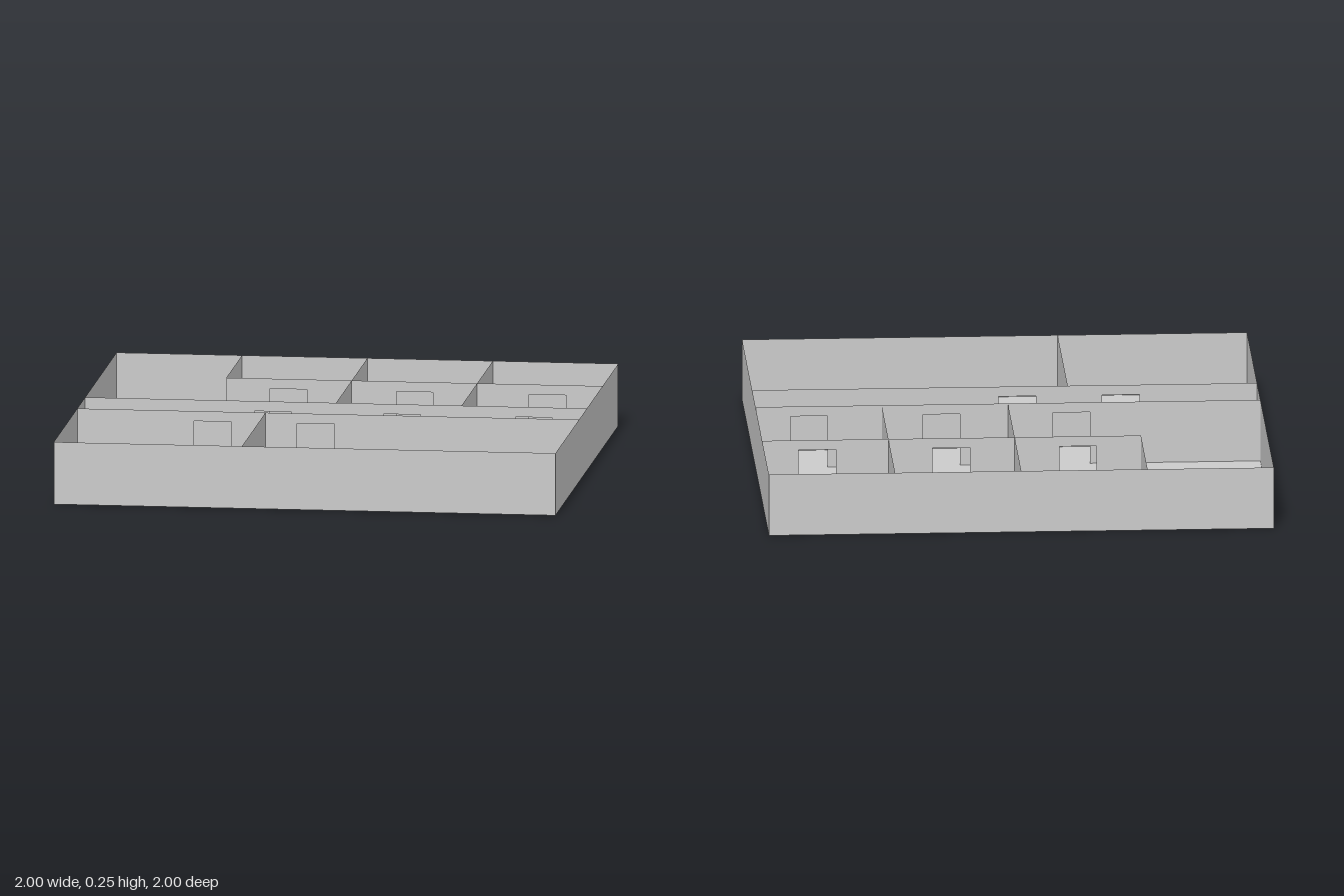
import * as THREE from 'three';

const HEIGHT = 0.25;
const DOOR_HEIGHT = 0.21;

export function createModel() {
  const group = new THREE.Group();
  const material = new THREE.MeshStandardMaterial({
    color: 0xcccccc, flatShading: true, side: THREE.DoubleSide,
  });

  const add = (name, geometry) => {
    const mesh = new THREE.Mesh(geometry, material);
    mesh.name = name;
    group.add(mesh);
    return mesh;
  };

  // Thin wall running along x, with doorways notched up from the floor
  const wallAlongX = (name, z, x0, x1, doors = []) => {
    const shape = new THREE.Shape();
    shape.moveTo(x0, 0);
    for (const [a, b] of doors) {
      shape.lineTo(a, 0);
      shape.lineTo(a, DOOR_HEIGHT);
      shape.lineTo(b, DOOR_HEIGHT);
      shape.lineTo(b, 0);
    }
    shape.lineTo(x1, 0);
    shape.lineTo(x1, HEIGHT);
    shape.lineTo(x0, HEIGHT);
    add(name, new THREE.ShapeGeometry(shape)).position.z = z;
  };

  // Thin solid wall running along z
  const wallAlongZ = (name, x, z0, z1) => {
    const geometry = new THREE.PlaneGeometry(z1 - z0, HEIGHT).rotateY(Math.PI / 2);
    add(name, geometry).position.set(x, HEIGHT / 2, (z0 + z1) / 2);
  };

  // Floor slab surface
  add('floor', new THREE.PlaneGeometry(2, 2).rotateX(-Math.PI / 2));

  // Outer walls
  wallAlongX('frontWall', 1, -1, 1);
  wallAlongX('backWall', -1, -1, 1);
  wallAlongZ('leftWall', 1, -1, 1);
  wallAlongZ('rightWall', -1, -1, 1);

  // Corridor walls and the wall of the back rooms, with doorways
  wallAlongX('corridorFrontWall', 0.25, -1, 1, [[-0.535, -0.385], [-0.125, 0.025]]);
  wallAlongX('corridorBackWall', 0, -1, 1, [[-0.325, -0.178], [0.19, 0.337], [0.715, 0.862]]);
  wallAlongX('backRoomsWall', -0.5, -0.5, 1, [[-0.325, -0.178], [0.178, 0.325], [0.707, 0.857]]);

  // Partitions between rooms
  wallAlongZ('frontPartition', -0.25, 0.25, 1);
  wallAlongZ('hallPartition', -0.5, -1, -0.5);
  wallAlongZ('middlePartition', 0, -1, 0);
  wallAlongZ('sidePartition', 0.5, -1, 0);

  return group;
}
